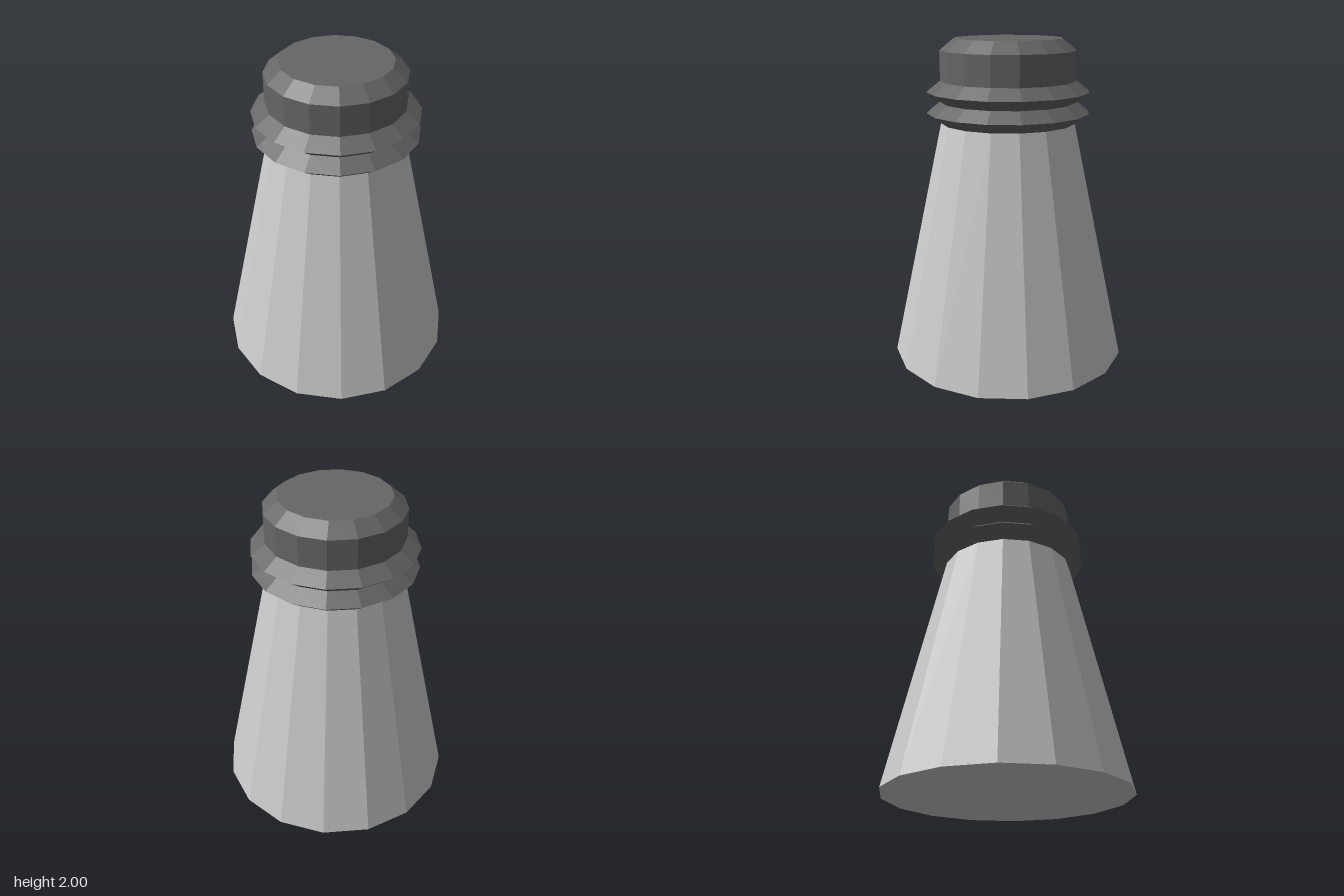
import * as THREE from 'three';

const SIDES = 16;

export function createModel() {
  const group = new THREE.Group();
  const add = (name, geometry, color, y = 0) => {
    const material = new THREE.MeshStandardMaterial({ color, flatShading: true });
    const mesh = new THREE.Mesh(geometry, material);
    mesh.name = name;
    mesh.position.y = y;
    group.add(mesh);
  };

  // Tapered body with a closed base
  const neckY = 1.494, neckR = 0.415;
  add('body', new THREE.CylinderGeometry(neckR, 0.743, neckY, SIDES), 0xcccccc, neckY / 2);

  // Dark cap: two pointed rings, a straight band and a chamfered flat top
  const profile = [
    [neckR, neckY], [0.5, 1.557], [neckR, 1.621], [0.5, 1.685],
    [neckR, 1.749], [neckR, 1.93], [0.33, 2], [0, 2],
  ].map(([r, y]) => new THREE.Vector2(r, y));
  add('cap', new THREE.LatheGeometry(profile, SIDES), 0x666666);

  return group;
}
